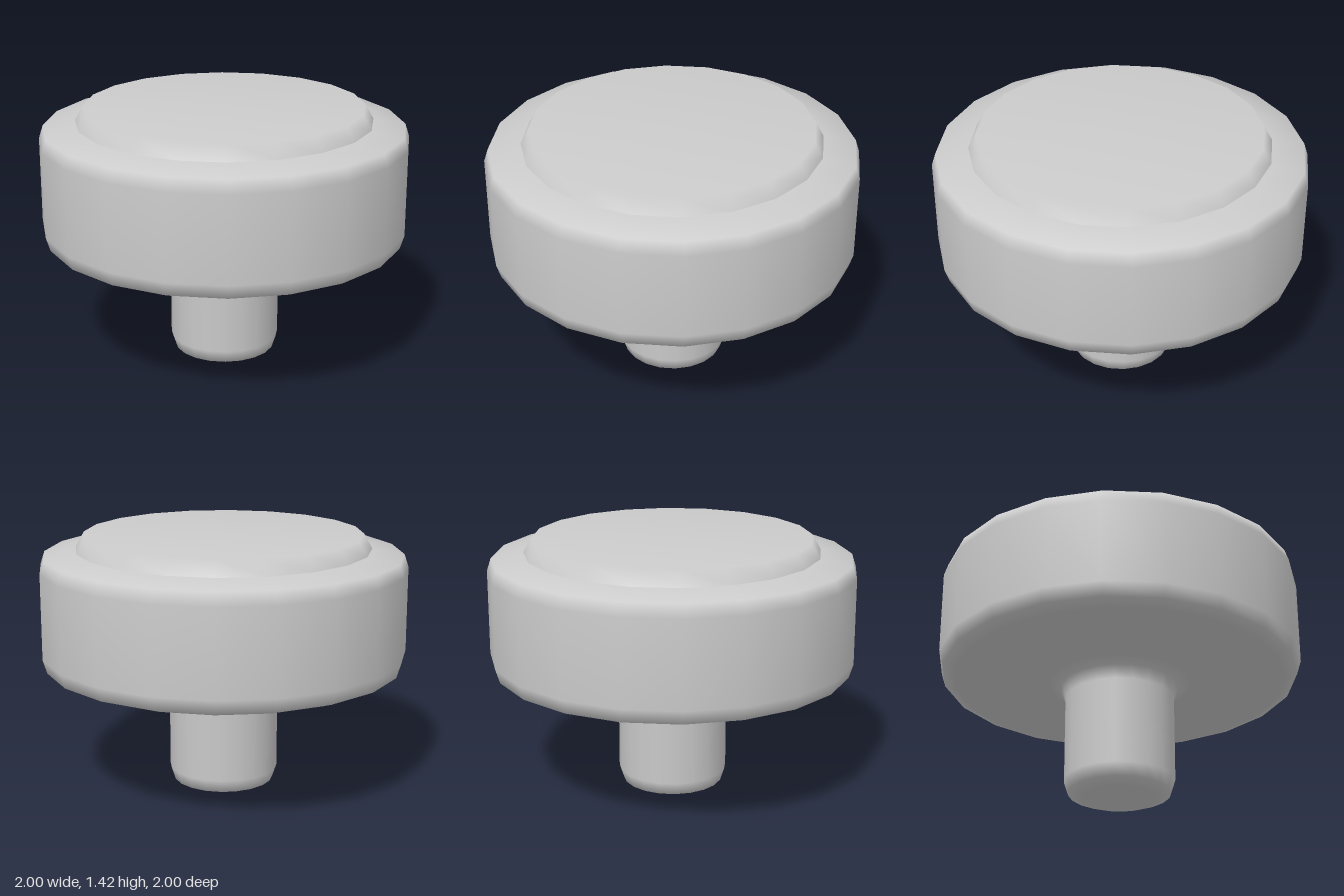
import * as THREE from 'three';

const SIDES = 20;
const TURN = Math.PI / 40; // quarter of one side

// Smooth-shaded turned part from [radius, height] pairs, listed bottom to top
function turned(name, profile, material) {
  const points = profile.map(([r, y]) => new THREE.Vector2(r, y));
  const mesh = new THREE.Mesh(new THREE.LatheGeometry(points, SIDES, TURN), material);
  mesh.name = name;
  return mesh;
}

export function createModel() {
  const group = new THREE.Group();
  group.name = 'knob';
  const material = new THREE.MeshStandardMaterial({ color: 0xcccccc });

  // Stem with rounded foot, flared into the round body in one smooth piece
  group.add(turned('bodyWithStem', [
    [0, 0], [0.2, 0], [0.277, 0.03], [0.3, 0.1],      // foot
    [0.3, 0.575], [0.323, 0.645], [0.4, 0.672],       // stem and flare
    [0.905, 0.672], [0.98, 0.7], [1.003, 0.775],      // underside and lower edge
    [1.003, 1.24], [0.98, 1.31], [0.805, 1.34],       // wall and upper edge
  ], material));

  // Raised bevelled top, meeting the body at a sharp seam
  group.add(turned('topCap', [[0.805, 1.34], [0.76, 1.42], [0, 1.42]], material));

  return group;
}
